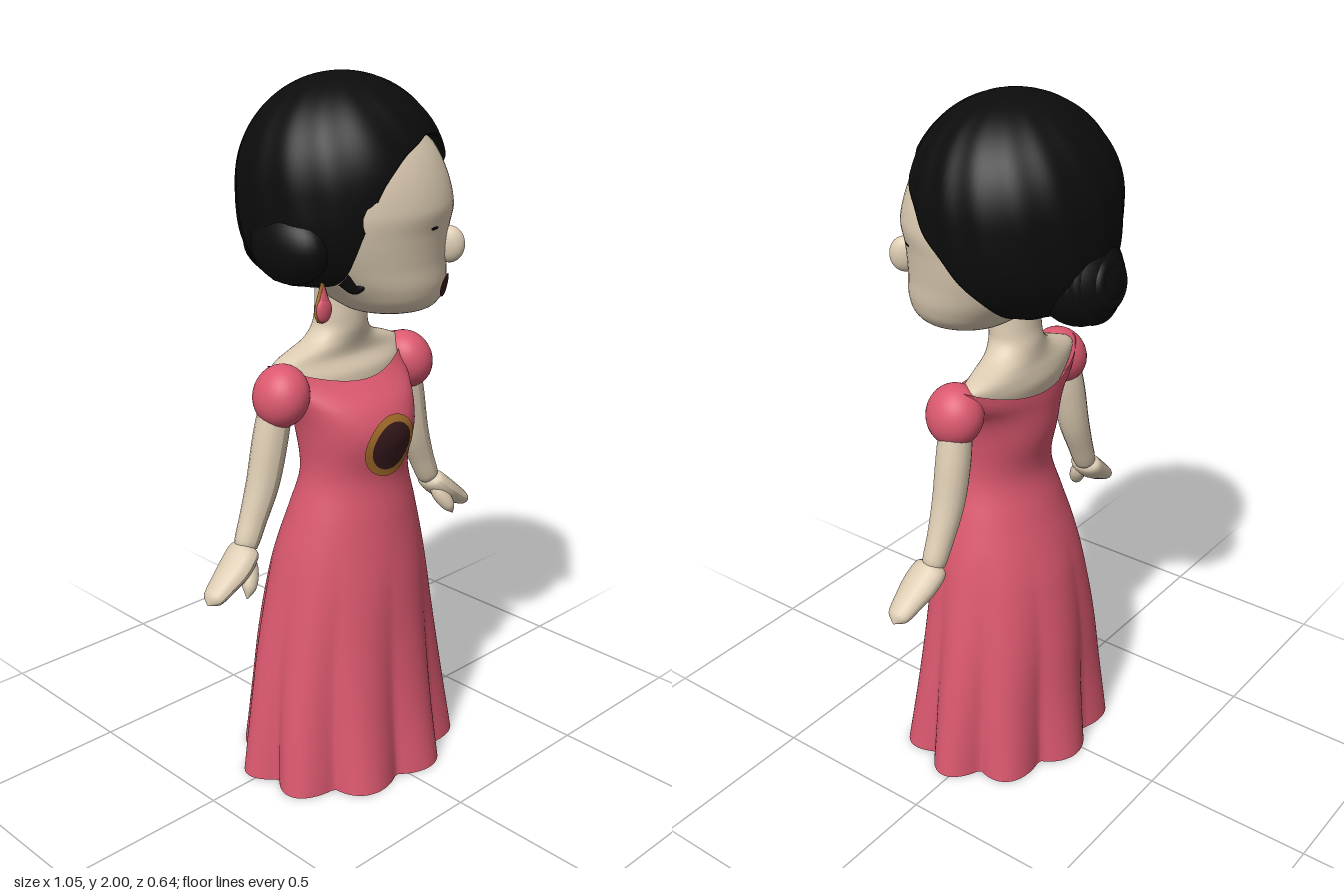
import * as THREE from 'three';

const material = (name, color) => Object.assign(new THREE.MeshStandardMaterial({ color }), { name });
const skin = material('skin', 0xdccbb2);
const pink = material('dress pink', 0xdb586f);
const black = material('hair black', 0x0c0c0c);
const gold = material('gold', 0xa8702c);
const brown = material('dark brown', 0x3a1a1e);
const rad = THREE.MathUtils.degToRad;

// Smooth interpolation of table rows [key, ...values]
function sample(table, k) {
  const last = table.length - 1;
  k = Math.min(Math.max(k, table[0][0]), table[last][0]);
  let i = 0;
  while (i < last - 1 && k > table[i + 1][0]) i++;
  const h = table[i + 1][0] - table[i][0], t = (k - table[i][0]) / h;
  const slope = (j, c) => {
    const a = table[Math.max(j - 1, 0)], b = table[Math.min(j + 1, last)];
    return (b[c] - a[c]) / (b[0] - a[0]);
  };
  return table[i].slice(1).map((p, n) => {
    const c = n + 1, q = table[i + 1][c], t2 = t * t, t3 = t2 * t;
    return (2 * t3 - 3 * t2 + 1) * p + (t3 - 2 * t2 + t) * h * slope(i, c)
      + (3 * t2 - 2 * t3) * q + (t3 - t2) * h * slope(i + 1, c);
  });
}

// Closed rings: point(angle, v) gives [x, y, z]; angle 0 is +z, 90 degrees is +x
function rings(segments, rows, point) {
  const pos = [], index = [];
  for (let j = 0; j <= rows; j++)
    for (let i = 0; i < segments; i++) pos.push(...point(i / segments * Math.PI * 2, j / rows));
  for (let j = 0; j < rows; j++)
    for (let i = 0; i < segments; i++) {
      const a = j * segments + i, b = j * segments + (i + 1) % segments;
      index.push(a, b, b + segments, a, b + segments, a + segments);
    }
  const g = new THREE.BufferGeometry();
  g.setAttribute('position', new THREE.Float32BufferAttribute(pos, 3));
  g.setIndex(index);
  g.computeVertexNormals();
  return g;
}

// Tapered tube; stations are [x, y, z, radius], flat widens it along z
function limb(stations, flat = 1) {
  const curve = new THREE.CatmullRomCurve3(stations.map(s => new THREE.Vector3(...s)));
  const n = 32, m = 16, g = new THREE.TubeGeometry(curve, n, 1, m), p = g.attributes.position;
  const radii = stations.map((s, i) => [i / (stations.length - 1), s[3]]);
  for (let i = 0; i <= n; i++) {
    const c = curve.getPointAt(i / n);
    const r = Math.max(0.001, sample(radii, curve.getUtoTmapping(i / n))[0]);
    for (let j = 0; j <= m; j++) {
      const k = i * (m + 1) + j;
      p.setXYZ(k, c.x + (p.getX(k) - c.x) * r, c.y + (p.getY(k) - c.y) * r, c.z + (p.getZ(k) - c.z) * r * flat);
    }
  }
  g.computeVertexNormals();
  return g;
}

// Flat outline laid onto a curved front
function decal(geometry, x, y, frontZ, lift) {
  geometry.translate(x, y, 0);
  const p = geometry.attributes.position;
  for (let i = 0; i < p.count; i++) p.setZ(i, frontZ(p.getX(i), p.getY(i)) + lift);
  geometry.computeVertexNormals();
  return geometry;
}

// Dress rows: height, half width, front z, back z
const dressRows = [
  [0, .355, .325, -.25], [.2, .325, .29, -.225], [.4, .29, .265, -.205], [.6, .25, .245, -.17],
  [.7, .228, .23, -.14], [.8, .2, .215, -.105], [.92, .168, .2, -.072], [1.05, .178, .225, -.095],
  [1.13, .2, .19, -.098], [1.185, .235, .115, -.098], [1.245, .25, .07, -.085]];
const neckRows = [
  [1.12, .18, .1, -.06], [1.2, .228, .092, -.08], [1.24, .235, .066, -.075], [1.262, .19, .065, -.07],
  [1.285, .125, .07, -.068], [1.32, .085, .078, -.066], [1.36, .078, .08, -.06], [1.45, .075, .08, -.06]];
// Head rows: height, forward offset, half width, half depth
const headRows = [
  [1.372, .14, .002, .002], [1.378, .14, .09, .09], [1.4, .135, .145, .14], [1.45, .11, .187, .185],
  [1.52, .06, .225, .235], [1.6, .025, .255, .275], [1.67, .02, .263, .29], [1.78, .01, .25, .265],
  [1.86, 0, .21, .215], [1.95, 0, .1, .1]];
// Hairline height by compass angle
const hairline = [
  [-180, 1.45], [-120, 1.46], [-60, 1.47], [-42, 1.5], [-32, 1.62], [-20, 1.75], [0, 1.825], [20, 1.85],
  [40, 1.825], [58, 1.75], [75, 1.67], [90, 1.6], [110, 1.5], [125, 1.46], [180, 1.45]];

function oval(rows, a, y, scale = 1) {
  const [w, f, b] = sample(rows, y);
  return [w * Math.sin(a) * scale, y, (f + b) / 2 + (f - b) / 2 * Math.cos(a) * scale];
}
// Nine rounded folds that fade out towards the hips
function fold(a, y) {
  const depth = .17 * Math.max(0, 1 - y / .75) ** 1.3;
  return 1 - depth * (1 - Math.abs(Math.cos(4.5 * (a - rad(14)))));
}
const dressFront = (x, y) => {
  const [w, f, b] = sample(dressRows, y);
  return (f + b) / 2 + (f - b) / 2 * Math.sqrt(Math.max(0, 1 - (x / w) ** 2));
};
const faceFront = (x, y) => {
  const [c, w, d] = sample(headRows, y);
  return c + d * Math.sqrt(Math.max(0, 1 - (x / w) ** 2));
};
function hairRadius(y) {
  const t = y - 1.715;
  return t > 0 ? .288 * Math.sqrt(Math.max(0, 1 - (t / .285) ** 2))
    : .288 * Math.sqrt(1 - (-t / .27 * .85) ** 3);
}

export function createModel() {
  const model = new THREE.Group();
  const add = (name, geometry, mat, parent = model) => {
    const mesh = new THREE.Mesh(geometry, mat);
    mesh.name = name;
    parent.add(mesh);
    return mesh;
  };
  const ball = (name, mat, [x, y, z], [rx, ry, rz], parent) => {
    const mesh = add(name, new THREE.SphereGeometry(1, 32, 20), mat, parent);
    mesh.position.set(x, y, z);
    mesh.scale.set(rx, ry, rz);
    return mesh;
  };

  // Dress with a dipping neckline and closed hem
  const cloth = pink.clone();
  cloth.side = THREE.DoubleSide;
  add('dress', rings(144, 60, (a, v) => {
    const y = v * (1.185 + .06 * Math.sin(a) ** 2);
    return oval(dressRows, a, y, fold(a, y));
  }), cloth);
  add('hemBase', rings(144, 1, (a, v) => oval(dressRows, a, 0, v * fold(a, 0))), pink);
  add('neckAndShoulders', rings(48, 36, (a, v) => oval(neckRows, a, 1.12 + .33 * v)), skin);

  // Round chest ornament
  add('ornamentRim', decal(new THREE.RingGeometry(.07, .09, 40, 2), -.005, 1.015, dressFront, .006), gold);
  add('ornamentCentre', decal(new THREE.RingGeometry(.001, .072, 40, 4), -.005, 1.015, dressFront, .005), brown);

  // Sleeves, arms and hands
  for (const s of [1, -1]) {
    const side = s > 0 ? 'left' : 'right';
    const path = list => list.map(([x, y, z, r]) => [s * x, y, z, r]);
    ball(side + 'Sleeve', pink, [s * .243, 1.17, .03], [.073, .087, .083]).rotation.z = s * .3;
    add(side + 'Arm', limb(path([[.25, 1.16, .02, .045], [.272, 1.05, .015, .049], [.3, .93, .013, .046],
      [.335, .84, .013, .039], [.37, .76, .015, .031], [.378, .74, .015, .001]])), skin);
    add(side + 'Hand', limb(path([[.36, .775, .015, .001], [.372, .758, .017, .031], [.41, .722, .025, .036],
      [.46, .686, .03, .03], [.505, .655, .033, .021], [.522, .643, .034, .001]]), 1.5), skin);
    add(side + 'Thumb', limb(path([[.37, .75, .03, .012], [.385, .71, .05, .024],
      [.405, .67, .07, .02], [.419, .642, .076, .001]])), skin);
  }

  // Head turned to its left
  const head = new THREE.Group();
  head.name = 'head';
  head.rotation.y = rad(33);
  model.add(head);
  add('face', rings(64, 60, (a, v) => {
    const y = 1.372 + .578 * v ** 1.4, [c, w, d] = sample(headRows, y);
    return [w * Math.sin(a), y, c + d * Math.cos(a)];
  }), skin, head);
  ball('nose', skin, [.005, 1.555, .303], [.027, .05, .042], head);
  const mouth = new THREE.RingGeometry(.001, 1, 32, 6).scale(.043, .031, 1);
  add('mouth', decal(mouth, -.015, 1.447, faceFront, .006), brown, head);
  for (const s of [1, -1]) {
    const eye = new THREE.RingGeometry(.001, 1, 12, 1).scale(.014, .005, 1);
    add(s > 0 ? 'leftEye' : 'rightEye', decal(eye, s * .11, 1.62, faceFront, .004), black, head);
  }

  // Swept hair cap with a turned-in edge and faint strands
  add('hair', rings(120, 48, (a, v) => {
    const deg = THREE.MathUtils.euclideanModulo(a * 180 / Math.PI + 180, 360) - 180;
    const low = sample(hairline, deg)[0];
    const t = Math.max(0, (v - 1 / 48) * 48 / 47);
    const y = low + (2 - low) * Math.sin(t * Math.PI / 2);
    const strand = .003 * Math.sin(16 * a + 8 * t) * Math.cos(t * Math.PI / 2);
    const r = Math.max(0, hairRadius(y) + strand - (v === 0 ? .06 : 0));
    return [.012 + r * Math.sin(a), y, r * Math.cos(a) * .98];
  }), black);
  ball('sideWave', black, [-.215, 1.575, .04], [.075, .1, .13]);
  add('looseLock', limb([[-.15, 1.5, .17, .02], [-.125, 1.47, .19, .012], [-.1, 1.48, .2, .007],
    [-.085, 1.51, .21, .001]]), black);

  // Coiled bun at the nape
  ball('bun', black, [0, 1.54, -.2], [.132, .128, .115]).rotation.x = .35;
  for (const [r, z] of [[.095, -.262], [.05, -.298]]) {
    const coil = add('bunCoil', new THREE.TorusGeometry(r, .024, 10, 40), black);
    coil.position.set(0, 1.545, z + .012);
    coil.rotation.x = .15;
  }

  // Drop earring on the right ear
  const earring = new THREE.Group();
  earring.name = 'earring';
  earring.position.set(-.175, 1.375, .12);
  model.add(earring);
  const drop = [[0, 0], [.018, .006], [.029, .028], [.025, .055], [.013, .09], [.006, .11], [0, .135]]
    .map(p => new THREE.Vector2(...p));
  add('earringBack', new THREE.LatheGeometry(drop, 24), gold, earring).scale.z = .4;
  const gem = ball('earringDrop', pink, [0, .038, .006], [.026, .034, .012], earring);
  gem.name = 'earringDrop';
  const tip = add('earringTip', new THREE.ConeGeometry(.022, .06, 20), pink, earring);
  tip.position.set(0, .078, .006);
  tip.scale.z = .5;
  return model;
}
